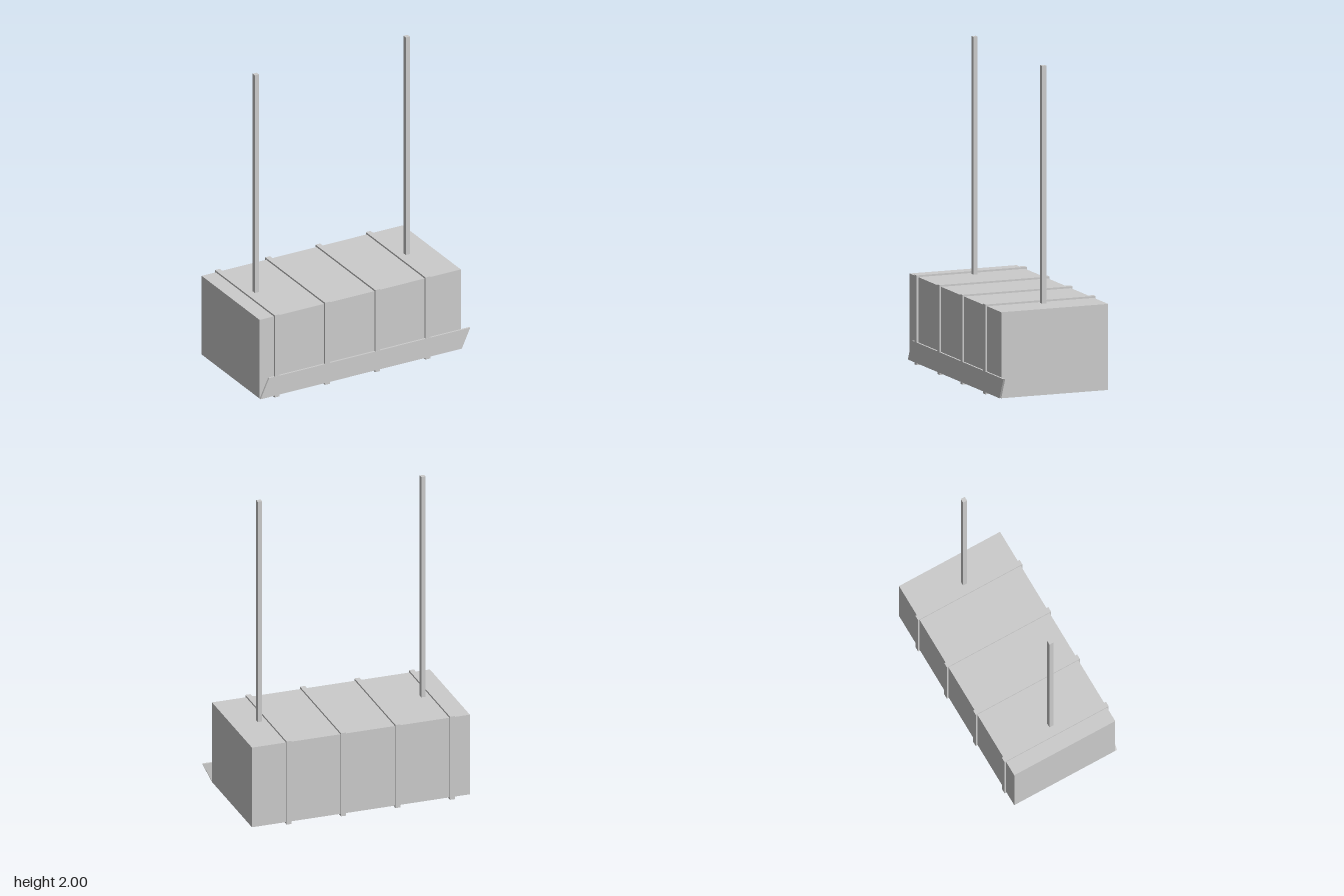
import * as THREE from 'three';

const material = new THREE.MeshStandardMaterial({ color: 0xcccccc, flatShading: true });

function addPart(group, name, geometry, x, y, z) {
  const mesh = new THREE.Mesh(geometry, material);
  mesh.name = name;
  mesh.position.set(x, y, z);
  group.add(mesh);
  return mesh;
}

function polygon(points) {
  return points.map(([x, y]) => new THREE.Vector2(x, y));
}

export function createModel() {
  const model = new THREE.Group();
  model.name = 'strappedCrate';

  const width = 1.4, depth = 0.702, bottom = 0.012, top = 0.54;
  const centreX = -0.03, strapThick = 0.011, strapWidth = 0.033;

  // Main crate body
  addPart(model, 'crateBody', new THREE.BoxGeometry(width, top - bottom, depth),
    centreX, (top + bottom) / 2, 0);

  // Straps: rectangular bands wrapped around the body
  const hz = depth / 2 + strapThick, hy = top + strapThick, inset = 0.002;
  const band = new THREE.Shape(polygon([[-hz, 0], [hz, 0], [hz, hy], [-hz, hy]]));
  const iz = depth / 2 - inset;
  band.holes.push(new THREE.Path(polygon([
    [-iz, bottom + inset], [-iz, top - inset], [iz, top - inset], [iz, bottom + inset],
  ])));
  const bandGeometry = new THREE.ExtrudeGeometry(band, { depth: strapWidth, bevelEnabled: false });
  bandGeometry.translate(0, 0, -strapWidth / 2).rotateY(Math.PI / 2);
  for (let i = 0; i < 4; i++) {
    addPart(model, `strap${i + 1}`, bandGeometry, centreX - 0.585 + i * 0.35, 0, 0);
  }

  // Upright poles standing on the lid
  const poleGeometry = new THREE.BoxGeometry(0.028, 2 - top, 0.028);
  for (const [name, side] of [['rightPole', -1], ['leftPole', 1]]) {
    addPart(model, name, poleGeometry, centreX + side * 0.525, (2 + top) / 2, 0);
  }

  // Slanted plank along the lower front edge
  const plank = new THREE.Shape(polygon([[-0.73, 0.013], [0.67, 0.013], [0.729, 0.14], [-0.671, 0.14]]));
  const plankGeometry = new THREE.ExtrudeGeometry(plank, { depth: strapThick + 0.001, bevelEnabled: false });
  addPart(model, 'frontPlank', plankGeometry, 0, 0, depth / 2);

  return model;
}
